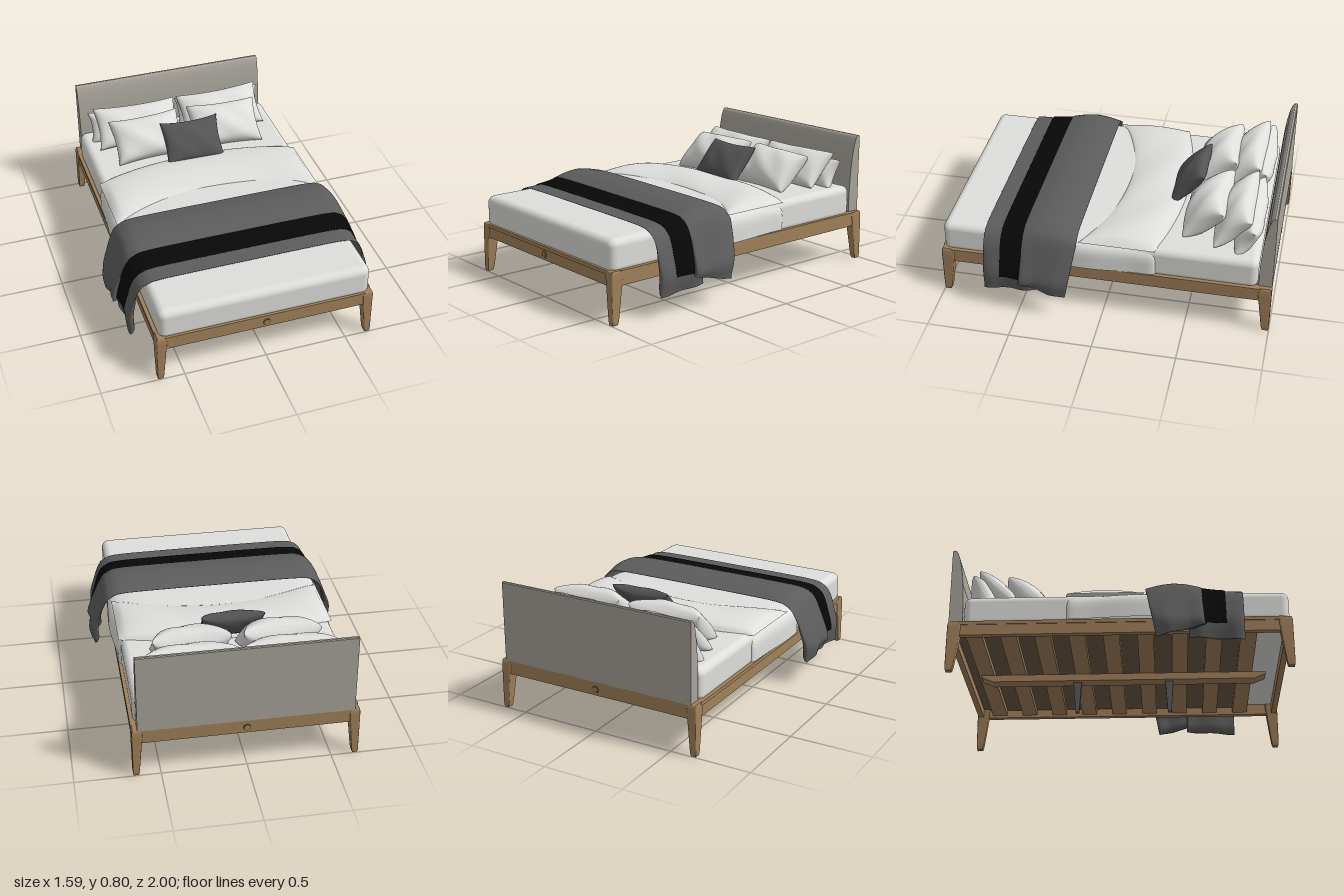
import * as THREE from 'three';
import { RoundedBoxGeometry } from 'three/addons/geometries/RoundedBoxGeometry.js';

const mat = (name, color, side = THREE.FrontSide) => {
  const m = new THREE.MeshStandardMaterial({ color, side });
  m.name = name;
  return m;
};
const pow = (a, e) => Math.sign(a) * Math.pow(Math.abs(a), e);

// Grid surface from fn(u, v) -> [x, y, z], with u and v in 0..1
function surface(fn, nu, nv) {
  const pos = [], idx = [], row = nu + 1;
  for (let j = 0; j <= nv; j++)
    for (let i = 0; i <= nu; i++) pos.push(...fn(i / nu, j / nv));
  for (let j = 0; j < nv; j++)
    for (let i = 0; i < nu; i++) {
      const a = j * row + i;
      idx.push(a, a + 1, a + row, a + 1, a + row + 1, a + row);
    }
  const g = new THREE.BufferGeometry();
  g.setAttribute('position', new THREE.Float32BufferAttribute(pos, 3));
  g.setIndex(idx);
  g.computeVertexNormals();
  return g;
}

// Side profile in (z, y), extruded across x
function acrossX(points, width) {
  const shape = new THREE.Shape(points.map(([z, y]) => new THREE.Vector2(-z, y)));
  const g = new THREE.ExtrudeGeometry(shape, { depth: width, bevelEnabled: false });
  return g.translate(0, 0, -width / 2).rotateY(Math.PI / 2);
}

export function createModel() {
  const model = new THREE.Group();
  const wood = mat('oak wood', 0xa1815a);
  const darkWood = mat('shaded wood', 0x6b5b47);
  const board = mat('headboard fabric', 0xa8a49b);
  const linen = mat('white linen', 0xdededc, THREE.DoubleSide);
  const grey = mat('grey throw', 0x5c5c5c, THREE.DoubleSide);
  const black = mat('black stripe', 0x080808, THREE.DoubleSide);
  const charcoal = mat('charcoal cushion', 0x535353, THREE.DoubleSide);
  const metal = mat('grey support', 0x5e5e5e);

  const add = (name, geo, m, x = 0, y = 0, z = 0) => {
    const mesh = new THREE.Mesh(geo, m);
    mesh.name = name;
    mesh.position.set(x, y, z);
    model.add(mesh);
  };
  const box = (name, m, w, h, d, x, y, z) => add(name, new THREE.BoxGeometry(w, h, d), m, x, y, z);

  // Corner legs: outer faces upright, inner faces tapering
  for (const sx of [-1, 1]) for (const sz of [-1, 1]) {
    const g = new RoundedBoxGeometry(1, 1, 1, 3, 0.12);
    const p = g.attributes.position;
    for (let i = 0; i < p.count; i++) {
      const t = Math.min(1, (p.getY(i) + 0.5) / 0.75);
      const w = 0.037 + 0.026 * t, d = 0.043 + 0.037 * t;
      p.setXYZ(i, sx * (0.662 - w / 2) + p.getX(i) * w, (p.getY(i) + 0.5) * 0.312,
        sz * (1 - d / 2) + p.getZ(i) * d);
    }
    g.computeVertexNormals();
    add('cornerLeg', g, wood);
  }

  // Rails with a slim lip along the top, and a round button at each end
  for (const s of [-1, 1]) {
    box('sideRail', wood, 0.035, 0.082, 1.88, s * 0.639, 0.264, 0);
    box('sideRailLip', wood, 0.042, 0.022, 1.88, s * 0.64, 0.3, 0);
    box('endRail', wood, 1.22, 0.08, 0.035, 0, 0.264, s * 0.976);
    box('endRailLip', wood, 1.22, 0.022, 0.045, 0, 0.3, s * 0.976);
    add('buttonRing', new THREE.TorusGeometry(0.019, 0.003, 8, 28), darkWood, 0, 0.26, s * 0.994);
    add('button', new THREE.CylinderGeometry(0.017, 0.017, 0.008, 28).rotateX(Math.PI / 2), wood, 0, 0.26, s * 0.994);
  }

  // Slats, the base above them and the centre beam
  for (let i = 0; i < 9; i++)
    box('slat', wood, 1.25, 0.035, 0.095, 0, 0.256, -0.85 + i * 0.2);
  box('slatBase', darkWood, 1.25, 0.01, 1.76, 0, 0.28, -0.08);
  add('centreBeam', acrossX([[-0.88, 0.239], [-0.88, 0.224], [-0.81, 0.195], [0.81, 0.195], [0.88, 0.224], [0.88, 0.239]], 0.085), wood);
  for (const z of [-0.285, 0.285]) {
    const g = new THREE.CylinderGeometry(0.036, 0.016, 0.196, 4, 1).rotateY(Math.PI / 4).toNonIndexed();
    g.computeVertexNormals();
    add('centreLeg', g, metal, 0.01, 0.098, z);
  }

  // Headboard: flat back, front curving in towards the top
  const curve = new THREE.SplineCurve([[-0.918, 0.31], [-0.92, 0.46], [-0.932, 0.62], [-0.95, 0.73], [-0.968, 0.785], [-0.982, 0.8]]
    .map(([a, b]) => new THREE.Vector2(a, b)));
  const profile = curve.getPoints(24).map(p => [p.x, p.y]);
  add('headboard', acrossX([[-0.999, 0.31], ...profile, [-0.994, 0.8], [-0.999, 0.795]], 1.256), board);

  // Mattress
  add('mattress', new RoundedBoxGeometry(1.285, 0.2, 1.9, 5, 0.045), linen, 0, 0.386, 0.037);

  // Duvet wrapping the mattress, with softly rounded edges
  add('duvet', surface((u, v) => {
    const a = Math.PI * (1 - u), end = pow(Math.max(0, Math.cos(v * Math.PI / 2)), 0.4);
    const bulge = 1 + 0.008 * Math.sin(v * 9);
    const x = (0.62 + 0.055 * end) * pow(Math.cos(a), 0.25) * bulge;
    const y = 0.315 + (0.158 + 0.034 * end) * pow(Math.max(0, Math.sin(a)), 0.35);
    return [x, y, 0.25 - 0.56 * Math.sin(v * Math.PI / 2)];
  }, 64, 28), linen);

  // Turned-back part of the duvet, with a curved front fold
  add('duvetFold', surface((u, v) => {
    const s = 2 * u - 1, x = 0.655 * s;
    const front = -0.02 + 0.17 * s * s, back = -0.405 + 0.1 * s * s;
    const dome = pow(Math.max(0, Math.sin(Math.PI * v)), 0.4) * Math.sqrt(Math.max(0, 1 - s ** 8));
    return [x, 0.482 + (0.05 + 0.014 * v) * dome + 0.004 * Math.sin(s * 7 + v * 5) * dome, front + (back - front) * v];
  }, 48, 28), linen);

  // Throw: padded layers over the bed, thicker where they hang at the sides
  const throwTop = z => 0.507 + 0.048 * Math.exp(-(((z - 0.32) / 0.17) ** 2));
  function drape(name, m, { z0, z1, hem0, hem1, edge, lift, thick, reach = 1, shift = [0, 0] }) {
    add(name, surface((u, v) => {
      const s = 2 * u - 1, t = Math.abs(s) * reach, phi = v * Math.PI * 2;
      const f = (1 - pow(Math.cos(phi), 0.5)) / 2;
      const inset = (1 - pow(Math.sin(phi), 0.5)) / 2;
      const z = z0 + (z1 - z0) * f, hem = hem0 + (hem1 - hem0) * f, top = throwTop(z) + lift;
      const path = new THREE.SplineCurve([[0, top], [0.3, top], [0.56, top - 0.004], [0.642, top - 0.025],
        [0.69, top - 0.075], [0.64 + (edge - 0.64) * 0.75, 0.34], [edge - 0.004, 0.24], [edge - 0.016, hem]]
        .map(([a, b]) => new THREE.Vector2(a, b)));
      const p = path.getPoint(t), hang = Math.max(0, (t - 0.55) / 0.45);
      const fold = 0.01 * hang * Math.sin(z * 30);
      const depth = inset * (0.006 + thick * hang * (1 - hang ** 8));
      return [Math.sign(s) * (p.x + fold + lift * t - depth * Math.min(1, hang * 3)),
        p.y - depth * (1 - Math.min(1, hang * 3)), z + hang * (shift[0] + (shift[1] - shift[0]) * f)];
    }, 80, 48), m);
  }
  const lower = { z0: 0.718, z1: 0.4, hem0: 0.125, hem1: 0.145, edge: 0.755 };
  drape('throwLower', grey, { ...lower, lift: 0, thick: 0.06 });
  drape('throwStripe', black, { ...lower, z0: 0.615, z1: 0.44, lift: 0.007, thick: 0, reach: 0.875 });
  drape('throwUpper', grey, { z0: 0.478, z1: 0.155, hem0: 0.21, hem1: 0.14, edge: 0.782, lift: 0.011, thick: 0.06, shift: [0.02, 0.06] });

  // Pillows: two puffed faces meeting in a seam with drawn-out corners
  function pillow(name, m, [w, h, t], [x, y, z], tilt, turn = 0) {
    const group = new THREE.Group();
    group.name = name;
    for (const side of [1, -1]) {
      const g = surface((a, b) => {
        const u = Math.sin((a - 0.5) * Math.PI), v = Math.sin((b - 0.5) * Math.PI);
        const puff = pow(Math.max(0, (1 - u * u) * (1 - v * v)), 0.36);
        const crease = 1 + 0.05 * Math.sin(u * 6 + v * 4 + x * 9);
        return [side * u * w / 2 * (1 - 0.07 * (1 - v * v)), v * h / 2 * (1 - 0.12 * (1 - u * u)), side * t / 2 * puff * crease];
      }, 28, 24);
      const mesh = new THREE.Mesh(g, m);
      mesh.name = side > 0 ? 'frontFace' : 'backFace';
      group.add(mesh);
    }
    group.position.set(x, y, z);
    group.rotation.set(-tilt, 0, turn);
    model.add(group);
  }
  for (const s of [-1, 1]) {
    pillow('backPillow', linen, [0.58, 0.2, 0.17], [s * 0.298, 0.56, -0.822], 0.5);
    pillow('middlePillow', linen, [0.55, 0.28, 0.17], [s * 0.285, 0.592, -0.735], 0.8, s * 0.02);
    pillow('frontPillow', linen, [0.46, 0.3, 0.2], [s * 0.26, 0.59, -0.565], 0.87, -s * 0.03);
  }
  pillow('cushion', charcoal, [0.38, 0.28, 0.12], [-0.004, 0.607, -0.42], 0.72);

  return model;
}
